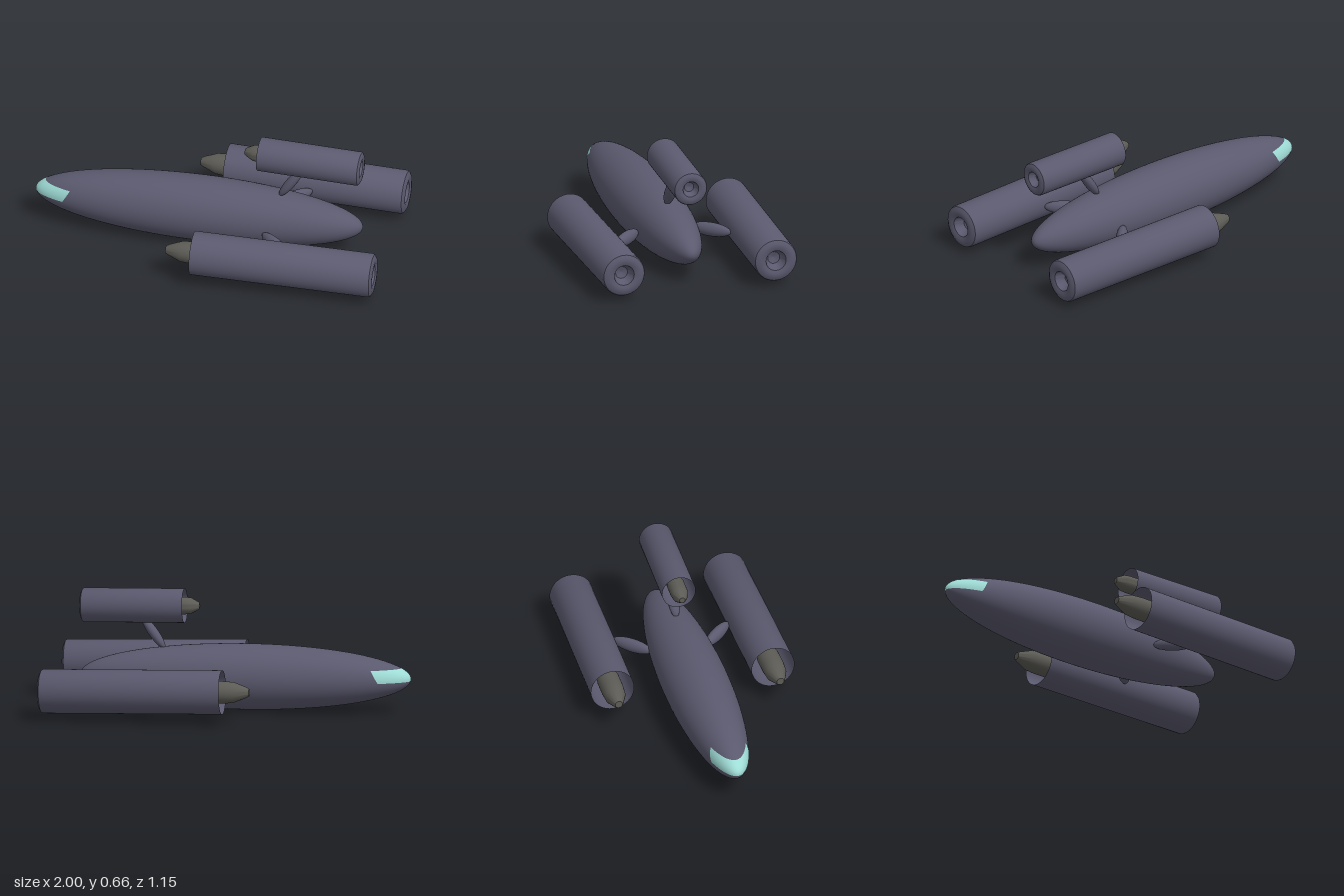
import * as THREE from 'three';
import { toCreasedNormals } from 'three/addons/utils/BufferGeometryUtils.js';

const paint = (color) => new THREE.MeshStandardMaterial({ color, side: THREE.DoubleSide });
const hullPaint = paint(0x5a596e);
const spikePaint = paint(0x5c5b55);
const glassPaint = paint(0x9fdcd6);

const HALF_LENGTH = 0.914, RADIUS = 0.181;

function mesh(name, geometry, material) {
  const m = new THREE.Mesh(geometry, material);
  m.name = name;
  return m;
}

function lathe(points, segments = 48) {
  const profile = points.map(([r, y]) => new THREE.Vector2(r, y));
  return toCreasedNormals(new THREE.LatheGeometry(profile, segments), 0.55);
}

// Ellipsoid body with its poles on the x axis
function createFuselage() {
  const group = new THREE.Group();
  group.name = 'fuselage';
  const geo = new THREE.SphereGeometry(1, 64, 48).rotateZ(Math.PI / 2);
  geo.scale(HALF_LENGTH, RADIUS, RADIUS);
  group.add(mesh('hull', geo, hullPaint), createWindow());
  const nose = new THREE.Vector3(-1, 0.196, -0.018);
  const tail = new THREE.Vector3(0.828, 0.176, 0.014);
  group.position.copy(nose).add(tail).multiplyScalar(0.5);
  group.quaternion.setFromUnitVectors(new THREE.Vector3(1, 0, 0), tail.sub(nose).normalize());
  return group;
}

// Band of glass wrapped round the nose, following level slices of the hull
function createWindow() {
  const geo = new THREE.PlaneGeometry(2, 1, 48, 8);
  const pos = geo.attributes.position;
  for (let i = 0; i < pos.count; i++) {
    const s = pos.getX(i), v = pos.getY(i) + 0.5;
    const y = THREE.MathUtils.lerp(-0.008, 0.062, v);
    const slice = Math.sqrt(1 - (y / RADIUS) ** 2);
    const rearX = THREE.MathUtils.lerp(0.745, 0.705, v);
    const t = s * Math.acos(rearX / (HALF_LENGTH * slice));
    pos.setXYZ(i, -HALF_LENGTH * slice * Math.cos(t) * 1.002, y, RADIUS * slice * Math.sin(t) * 1.02);
  }
  geo.computeVertexNormals();
  return mesh('window', geo, glassPaint);
}

// Open-fronted engine pod running from its intake to its rear edge
function createEngine(name, front, rear, r, spikeLength) {
  const group = new THREE.Group();
  group.name = name;
  const a = new THREE.Vector3(...front), b = new THREE.Vector3(...rear);
  const len = a.distanceTo(b);

  // Casing, bevelled rear lip and hollow nozzle
  group.add(mesh('casing', lathe([
    [r, 0], [r, len], [r * 0.96, len + r * 0.08], [r * 0.8, len + r * 0.17],
    [r * 0.62, len + r * 0.18], [r * 0.47, len + r * 0.12], [r * 0.42, len - r * 0.1],
    [r * 0.28, len - r * 0.3], [0, len - r * 0.4],
  ]), hullPaint));

  // Intake spike with a blunt tip
  group.add(mesh('intakeSpike', lathe([
    [0, -spikeLength], [r * 0.17, -spikeLength], [r * 0.24, -spikeLength * 0.9],
    [r * 0.47, -spikeLength * 0.42], [r * 0.51, 0], [r * 0.51, r * 0.9], [0, r * 0.9],
  ], 32), spikePaint));

  group.position.copy(a);
  group.quaternion.setFromUnitVectors(new THREE.Vector3(0, 1, 0), b.sub(a).normalize());
  return group;
}

// Swept oval strut
function createStrut(name, center, size, axis, angle) {
  const geo = new THREE.SphereGeometry(1, 32, 20).rotateZ(Math.PI / 2);
  const strut = mesh(name, geo.scale(...size), hullPaint);
  strut.position.set(...center);
  strut.rotation[axis] = angle;
  return strut;
}

export function createModel() {
  const model = new THREE.Group();
  model.name = 'spacecraft';
  model.add(
    createFuselage(),
    createEngine('frontSideEngine', [-0.035, 0.18, 0.452], [0.957, 0.155, 0.452], 0.121, 0.15),
    createEngine('backSideEngine', [-0.017, 0.184, -0.455], [0.975, 0.157, -0.415], 0.121, 0.15),
    createEngine('topEngine', [0.25, 0.572, -0.004], [0.807, 0.558, 0.02], 0.094, 0.083),
    createStrut('frontSideStrut', [0.383, 0.16, 0.25], [0.122, 0.039, 0.032], 'y', -0.8),
    createStrut('backSideStrut', [0.395, 0.165, -0.23], [0.122, 0.039, 0.032], 'y', 0.8),
    createStrut('topStrut', [0.425, 0.415, 0.012], [0.108, 0.027, 0.034], 'z', 0.95),
  );
  return model;
}
